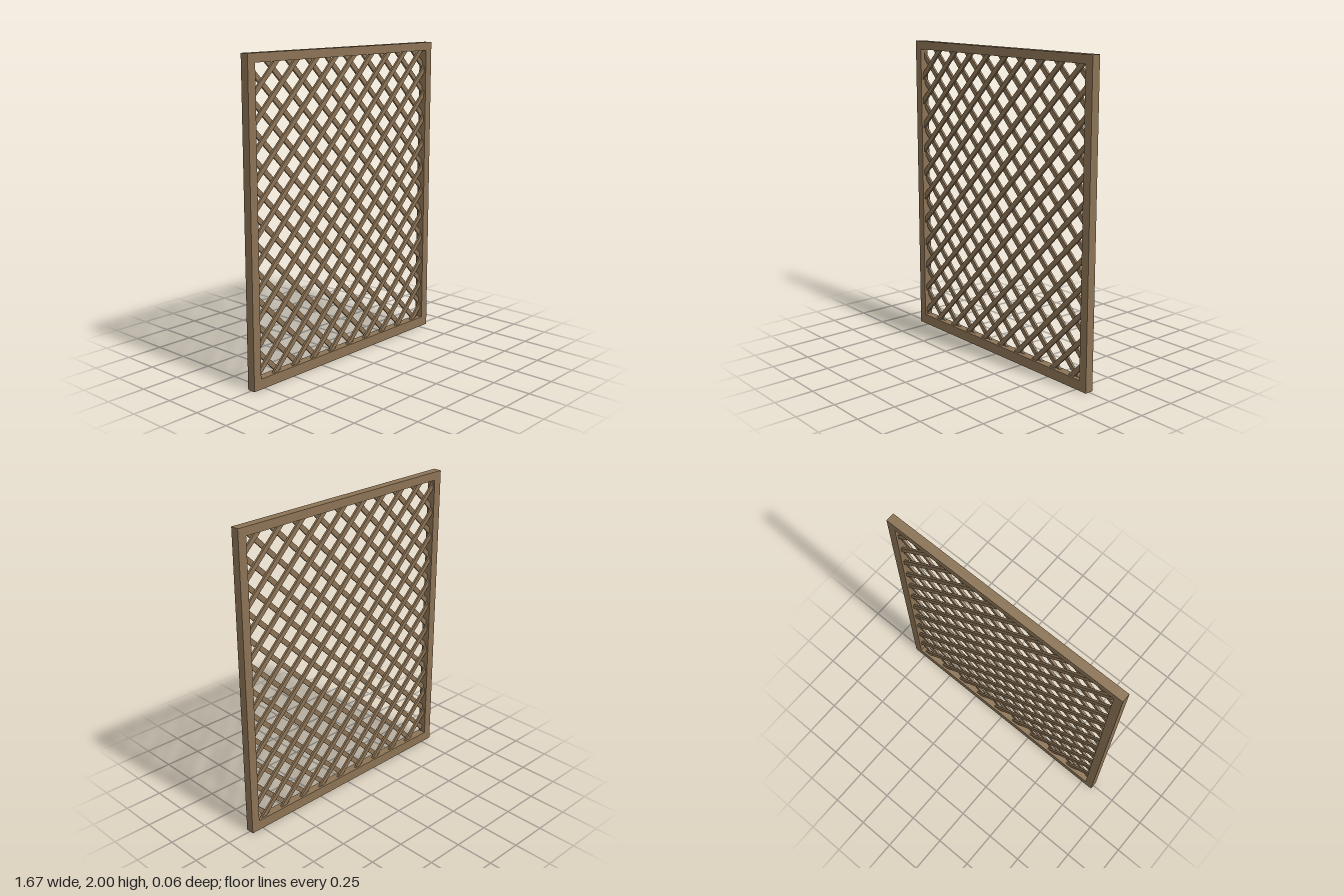
import * as THREE from 'three';

export function createModel() {
  const model = new THREE.Group();
  model.name = 'trellisPanel';
  const wood = new THREE.MeshStandardMaterial({ color: 0x8b7355 });
  wood.name = 'brown wood';

  function addBox(parent, name, size, position, angle = 0) {
    const mesh = new THREE.Mesh(new THREE.BoxGeometry(...size), wood);
    mesh.name = name;
    mesh.position.set(...position);
    mesh.rotation.z = angle;
    parent.add(mesh);
  }

  // Outer frame: two posts with rails between them
  const halfWidth = 0.833, depth = 0.056, post = 0.056;
  const bottom = 0.066, top = 1.946, inner = halfWidth - post;
  const frame = new THREE.Group();
  frame.name = 'frame';
  model.add(frame);
  for (const side of [-1, 1]) {
    addBox(frame, side > 0 ? 'leftPost' : 'rightPost', [post, 2, depth], [side * (halfWidth - post / 2), 1, 0]);
  }
  addBox(frame, 'topRail', [2 * inner, 2 - top, depth], [0, (2 + top) / 2, 0]);
  addBox(frame, 'bottomRail', [2 * inner, bottom, depth], [0, bottom / 2, 0]);

  // Two layers of diagonal slats, each reaching just into the frame
  const spacing = 1 / 6, slatWidth = 0.031, thickness = 0.014;
  for (const slope of [1, -1]) {
    const layer = new THREE.Group();
    layer.name = slope > 0 ? 'risingSlats' : 'fallingSlats';
    model.add(layer);
    for (let k = -12; k <= 12; k++) {
      // Centre line y = 1 + slope * x + offset, clipped to the opening
      const offset = (k + slope * 0.25) * spacing;
      const xa = (bottom - 1 - offset) * slope, xb = (top - 1 - offset) * slope;
      const x0 = Math.max(-inner, Math.min(xa, xb));
      const x1 = Math.min(inner, Math.max(xa, xb));
      if (x1 - x0 < 0.02) continue;
      const x = (x0 + x1) / 2;
      addBox(layer, 'slat', [(x1 - x0) * Math.SQRT2 + slatWidth, slatWidth, thickness],
        [x, 1 + slope * x + offset, slope * thickness / 2], slope * Math.PI / 4);
    }
  }
  return model;
}
